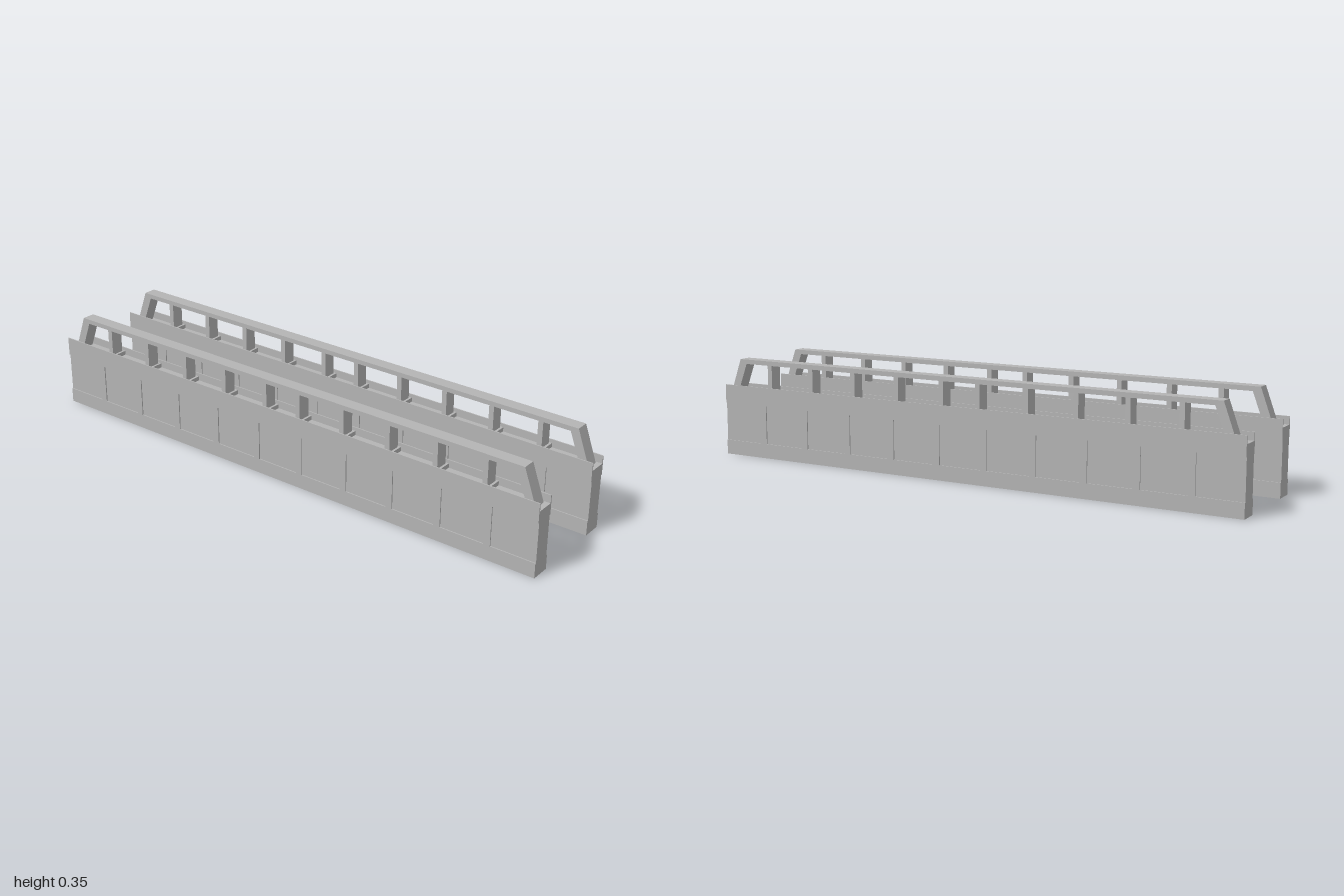
import * as THREE from 'three';

const concrete = new THREE.MeshStandardMaterial({ color: 0xb4b4b4 });
concrete.name = 'concreteGrey';

const LENGTH = 2;
const HALF_WIDTH = 0.0345;  // half thickness of a girder
const SKIN = 0.004;         // depth of the side relief
const PANELS = 11;
const RIB = 0.024;          // width of a rib between recessed panels
const PITCH = (LENGTH + RIB) / PANELS;
const RAIL_WIDTH = 0.046;
const RAIL_SHIFT = 0.008;   // railing sits slightly forward

// Box given by its limits in x, y and z
function box(name, x0, x1, y0, y1, z0, z1) {
  const mesh = new THREE.Mesh(new THREE.BoxGeometry(x1 - x0, y1 - y0, z1 - z0), concrete);
  mesh.position.set((x0 + x1) / 2, (y0 + y1) / 2, (z0 + z1) / 2);
  mesh.name = name;
  return mesh;
}

// Top rail with its two sloping end legs, drawn from the side
function railFrame() {
  const half = [[0.973, 0.23], [0.928, 0.353]];
  const inner = [[0.901, 0.337], [0.942, 0.23]];
  const points = [
    ...half, ...half.map(([z, y]) => [-z, y]).reverse(),
    ...inner.map(([z, y]) => [-z, y]).reverse(), ...inner,
  ].map(([z, y]) => new THREE.Vector2(z, y));
  const geometry = new THREE.ExtrudeGeometry(new THREE.Shape(points), { depth: RAIL_WIDTH, bevelEnabled: false });
  geometry.rotateY(-Math.PI / 2);
  geometry.translate(RAIL_WIDTH / 2, 0, 0);
  const mesh = new THREE.Mesh(geometry, concrete);
  mesh.name = 'railFrame';
  return mesh;
}

function girder(name) {
  const group = new THREE.Group();
  group.name = name;
  const end = LENGTH / 2;
  const core = HALF_WIDTH - SKIN;
  group.add(box('girderCore', -core, core, 0, 0.23, -end, end));

  // Bands, upstanding lips and panel ribs on both faces
  for (const side of [-1, 1]) {
    const x0 = side > 0 ? core : -HALF_WIDTH;
    const x1 = x0 + SKIN;
    group.add(box('lowerBand', x0, x1, 0, 0.052, -end, end));
    group.add(box('upperBandAndLip', x0, x1, 0.19, 0.257, -end, end));
    for (let i = 1; i < PANELS; i++) {
      const z = -end + i * PITCH - RIB / 2;
      group.add(box('panelRib', x0, x1, 0.052, 0.19, z - RIB / 2, z + RIB / 2));
    }
  }

  // Railing: frame, posts and the low cross blocks at their feet
  const railing = new THREE.Group();
  railing.name = 'railing';
  railing.position.z = RAIL_SHIFT;
  railing.add(railFrame());
  const w = RAIL_WIDTH / 2;
  for (const side of [-1, 1]) {
    for (let i = 0; i < 5; i++) {
      const z = side * (0.071 + i * 0.181);
      railing.add(box('railPost', -w, w, 0.23, 0.337, z - 0.009, z + 0.009));
      railing.add(box('postFoot', -core, core, 0.23, 0.245, z - 0.017, z + 0.017));
    }
  }
  group.add(railing);
  return group;
}

export function createModel() {
  const model = new THREE.Group();
  model.name = 'bridgeSides';
  for (const side of [-1, 1]) {
    const wall = girder(side > 0 ? 'leftGirder' : 'rightGirder');
    wall.position.x = side * 0.16;
    model.add(wall);
  }
  return model;
}
